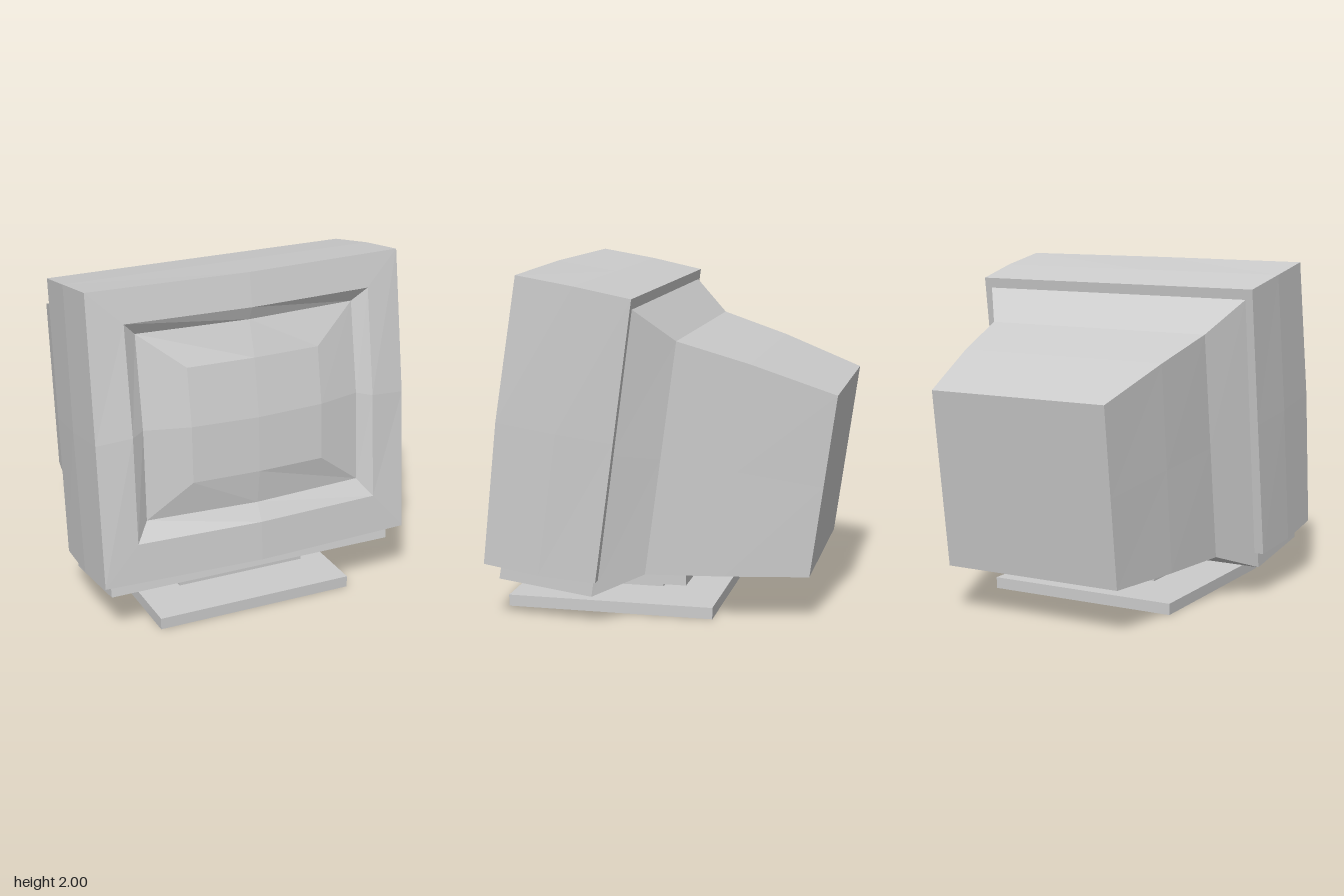
import * as THREE from 'three';

const material = new THREE.MeshStandardMaterial({ color: 0xcccccc, flatShading: true });

// Eight-point ring, counter-clockwise from the front. The bottom edge is at
// (yb, zb), the top edge at (yt, zt); the bulges push points along z.
function ring(hx, yb, zb, yt, zt, bulge = [0, 0, 0], bow = 0) {
  const [corner, topBottom, side] = bulge;
  const point = (x, t, d) =>
    new THREE.Vector3(x, THREE.MathUtils.lerp(yb, yt, t), THREE.MathUtils.lerp(zb, zt, t) + d);
  return [
    point(hx, 0, corner), point(hx + bow, 0.5, side), point(hx, 1, corner), point(0, 1, topBottom),
    point(-hx, 1, corner), point(-hx - bow, 0.5, side), point(-hx, 0, corner), point(0, 0, topBottom),
  ];
}

// Ring lying on the tilted face of the monitor
const faceZ = (y) => 1 - (y - 0.35) * 0.1333;
const faceRing = (hx, yb, yt, bulge, bow) => ring(hx, yb, faceZ(yb), yt, faceZ(yt), bulge, bow);

// Skin through rings ordered front to back, with optional end centres
function loft(name, rings, frontCentre, backCentre) {
  const pos = [];
  const tri = (...pts) => pts.forEach((p) => pos.push(p.x, p.y, p.z));
  const n = rings[0].length;
  const last = rings[rings.length - 1];
  for (let i = 0; i < n; i++) {
    const j = (i + 1) % n;
    if (frontCentre) tri(frontCentre, rings[0][i], rings[0][j]);
    for (let k = 0; k < rings.length - 1; k++) {
      const a = rings[k], b = rings[k + 1];
      tri(a[i], b[i], b[j]);
      tri(a[i], b[j], a[j]);
    }
    if (backCentre) tri(backCentre, last[j], last[i]);
  }
  const geometry = new THREE.BufferGeometry();
  geometry.setAttribute('position', new THREE.Float32BufferAttribute(pos, 3));
  geometry.computeVertexNormals();
  const mesh = new THREE.Mesh(geometry, material);
  mesh.name = name;
  return mesh;
}

const centreOf = (points) =>
  points.reduce((sum, p) => sum.add(p), new THREE.Vector3()).divideScalar(points.length);

function slab(name, hx, y0, y1, z0, z1) {
  const mesh = new THREE.Mesh(new THREE.BoxGeometry(hx * 2, y1 - y0, z1 - z0), material);
  mesh.position.set(0, (y0 + y1) / 2, (z0 + z1) / 2);
  mesh.name = name;
  return mesh;
}

export function createModel() {
  const model = new THREE.Group();
  model.name = 'monitor';

  // Curved screen, recessed bezel and front shell share their border rings
  const screenInner = faceRing(0.4, 0.88, 1.53, [0, 0.013, 0.02]);
  const screenEdge = faceRing(0.66, 0.68, 1.73, [-0.075, -0.033, -0.045]);
  const opening = faceRing(0.74, 0.58, 1.81, [-0.02, 0.012, 0.005]);
  const frontEdge = faceRing(0.942, 0.35, 2.0, [-0.04, 0, -0.02], 0.006);
  const shellMiddle = ring(0.942, 0.3, 0.64, 1.945, 0.41, [0, 0, 0], 0.006);
  const shellBack = ring(0.92, 0.27, 0.31, 1.88, 0.09);

  model.add(loft('screen', [screenInner, screenEdge], new THREE.Vector3(0, 1.2, faceZ(1.2) + 0.035)));
  model.add(loft('bezel', [screenEdge, opening, frontEdge]));
  model.add(loft('frontShell', [frontEdge, shellMiddle, shellBack], null, centreOf(shellBack)));

  // Rear casing: starts inside the shell, steps in and tapers to the back
  const casing = [
    ring(0.88, 0.25, 0.89, 1.75, 0.65),
    ring(0.875, 0.175, 0.345, 1.82, 0.1),
    ring(0.72, 0.28, 0.07, 1.63, -0.115),
    ring(0.655, 0.277, -0.38, 1.505, -0.52),
    ring(0.56, 0.275, -0.855, 1.33, -1),
  ];
  model.add(loft('rearCasing', casing, centreOf(casing[0]), centreOf(casing[4])));

  // Stand
  model.add(slab('basePlate', 0.6, 0, 0.068, -0.3, 0.93));
  model.add(slab('standNeck', 0.235, 0.068, 0.13, 0.075, 0.555));
  model.add(slab('swivelBlock', 0.395, 0.13, 0.28, -0.1, 0.725));

  return model;
}
